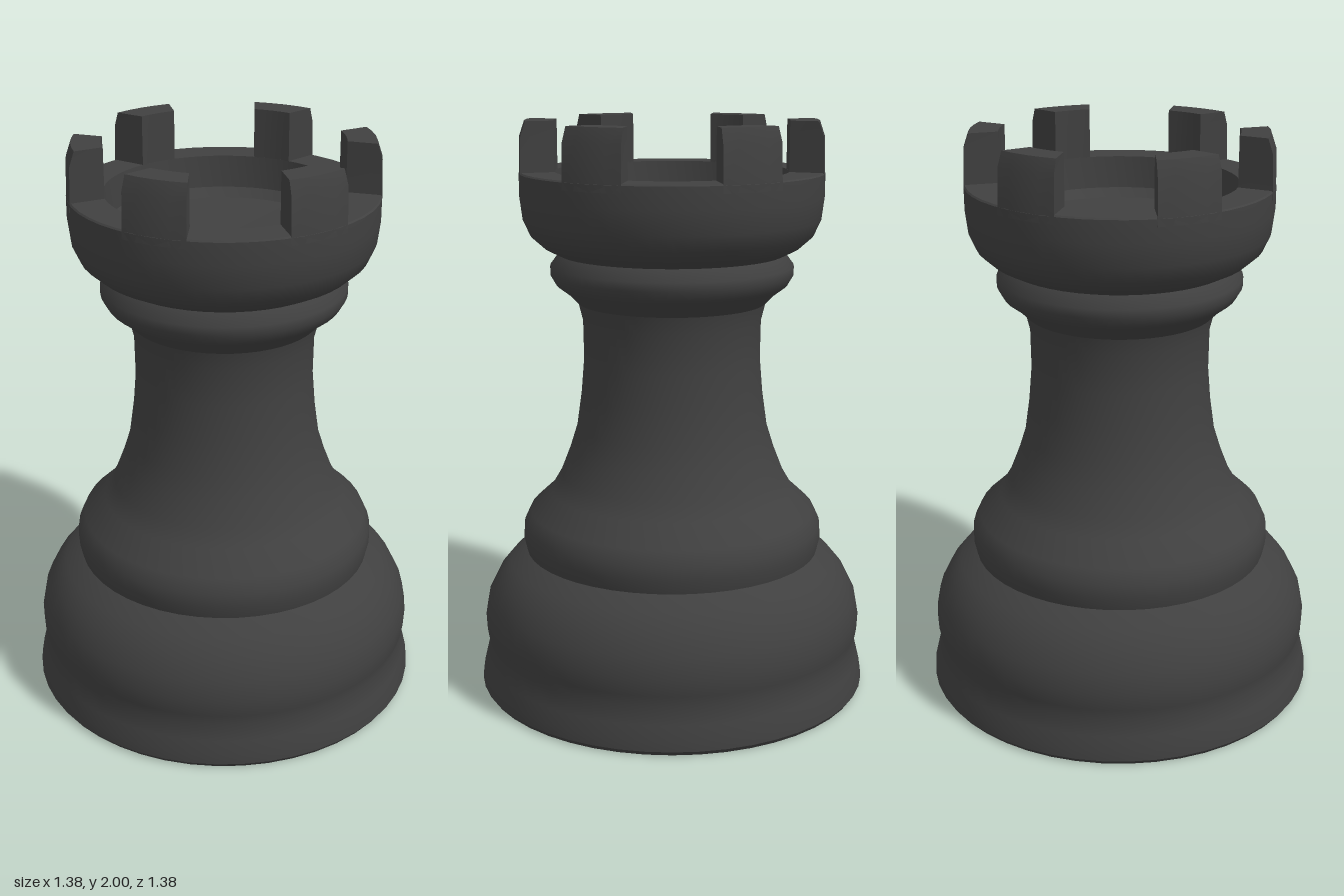
import * as THREE from 'three';
import { toCreasedNormals } from 'three/addons/utils/BufferGeometryUtils.js';

const charcoal = new THREE.MeshStandardMaterial({ color: 0x404040 });
charcoal.name = 'charcoal';

// Adds a turned part from a [radius, height] profile
function turned(group, name, profile, crease = 0.6) {
  const points = profile.map(([r, y]) => new THREE.Vector2(r, y));
  const geometry = toCreasedNormals(new THREE.LatheGeometry(points, 48), crease);
  const mesh = new THREE.Mesh(geometry, charcoal);
  mesh.name = name;
  group.add(mesh);
}

// One battlement: a box bent around the rim, wider outside, with a bevelled outer top edge
function merlonGeometry() {
  const geometry = new THREE.BoxGeometry(2, 1, 1, 4, 2, 1);
  const p = geometry.attributes.position;
  const heights = [1.8, 1.95, 2.0];
  const outerRadii = [0.52, 0.515, 0.498];
  for (let i = 0; i < p.count; i++) {
    const level = Math.round((p.getY(i) + 0.5) * 2);
    const outer = p.getZ(i) > 0;
    const radius = outer ? outerRadii[level] : 0.4;
    const angle = p.getX(i) * (outer ? 0.214 : 0.166);
    p.setXYZ(i, radius * Math.sin(angle), heights[level], radius * Math.cos(angle));
  }
  return toCreasedNormals(geometry, 0.5);
}

export function createModel() {
  const model = new THREE.Group();
  model.name = 'castlePiece';

  // Foot and wide base bulge
  turned(model, 'base', [
    [0, 0], [0.68, 0], [0.69, 0.015], [0.687, 0.05], [0.675, 0.1], [0.66, 0.16],
    [0.67, 0.2], [0.673, 0.26], [0.66, 0.33], [0.625, 0.4], [0.58, 0.455], [0.52, 0.495],
  ]);

  // Collar above the base, flowing into the tapering column
  turned(model, 'column', [
    [0.52, 0.495], [0.53, 0.54], [0.528, 0.59], [0.505, 0.64], [0.43, 0.71], [0.395, 0.77],
    [0.36, 0.86], [0.335, 0.94], [0.318, 1.06], [0.308, 1.18], [0.31, 1.32], [0.325, 1.38],
  ]);

  // Ring under the crown
  turned(model, 'neckRing', [
    [0.325, 1.38], [0.36, 1.415], [0.4, 1.445], [0.42, 1.48], [0.42, 1.51], [0.39, 1.55],
  ], 0.9);

  // Cup-shaped crown with a hollow top
  turned(model, 'crown', [
    [0.39, 1.55], [0.44, 1.575], [0.485, 1.615], [0.51, 1.67], [0.52, 1.75], [0.52, 1.825],
    [0.515, 1.83], [0.4, 1.83], [0.39, 1.72], [0.36, 1.69], [0, 1.675],
  ]);

  // Six battlements around the rim
  const battlements = new THREE.Group();
  battlements.name = 'battlements';
  const merlon = merlonGeometry();
  for (let i = 0; i < 6; i++) {
    const mesh = new THREE.Mesh(merlon, charcoal);
    mesh.name = 'merlon';
    mesh.rotation.y = Math.PI / 2 + (i * Math.PI) / 3;
    battlements.add(mesh);
  }
  model.add(battlements);

  return model;
}
